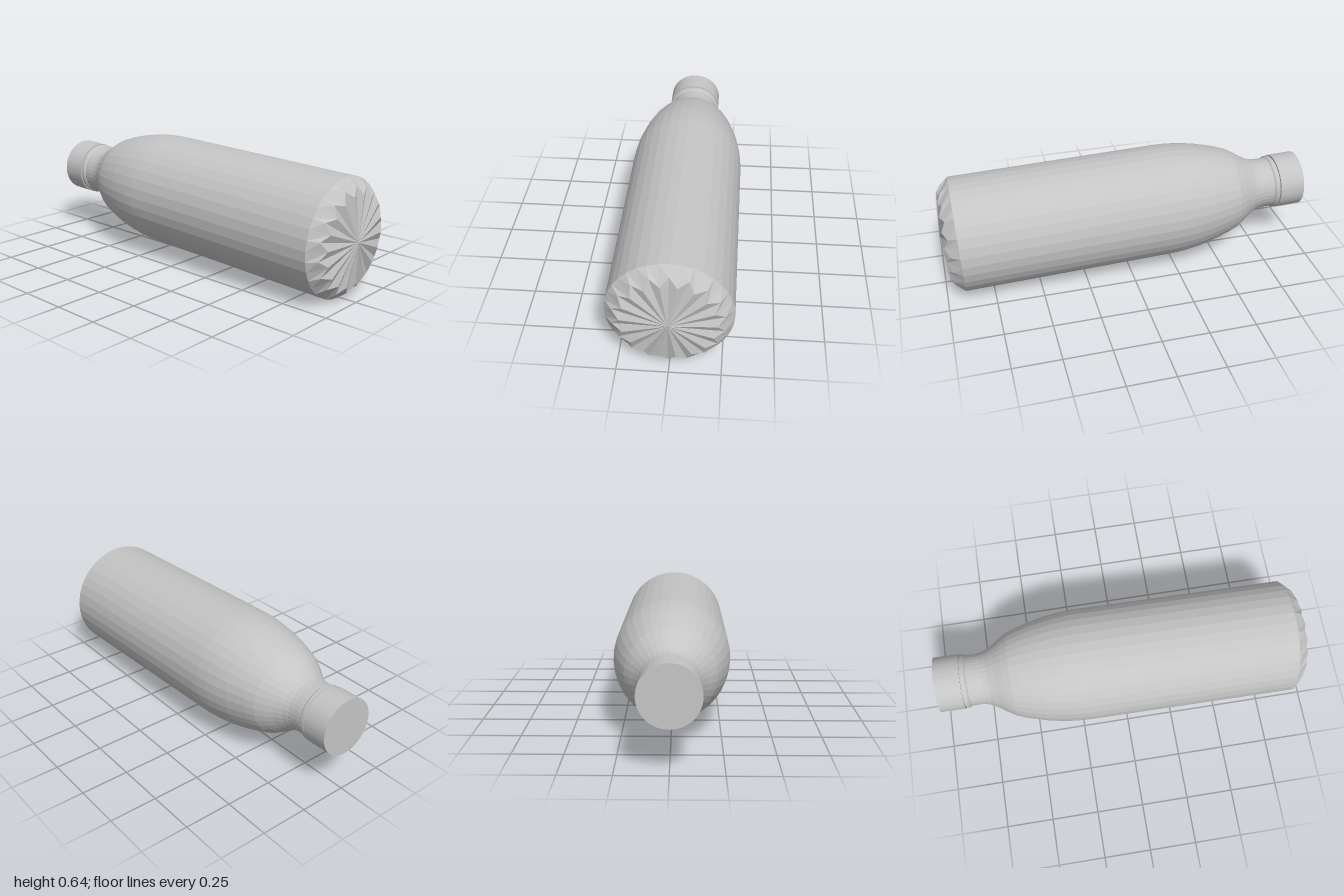
import * as THREE from 'three';
import { toCreasedNormals } from 'three/addons/utils/BufferGeometryUtils.js';

const SIDES = 36;
const ROLL = -0.026; // slight turn of the bottle about its own axis
const TILT = 0.031;  // the neck rests a little higher than the base

// Lathe from [distance along axis, radius] pairs, running neck to base
function lathe(profile, sides) {
  const points = profile.map(([s, r]) => new THREE.Vector2(r, s));
  return new THREE.LatheGeometry(points, sides, ROLL);
}

function flat(geometry) {
  const g = geometry.toNonIndexed();
  g.computeVertexNormals();
  return g;
}

// Faceted base: every second column of the middle ring is pulled inwards and out
function baseGeometry() {
  const profile = [[0.91, 0.304], [0.957, 0.267], [0.998, 0]];
  const g = lathe(profile, SIDES);
  const pos = g.attributes.position;
  for (let i = 0; i <= SIDES; i++) {
    if (i % 2 === 1) continue;
    const phi = ROLL + (i / SIDES) * Math.PI * 2;
    pos.setXYZ(i * profile.length + 1, 0.227 * Math.sin(phi), 0.98, 0.227 * Math.cos(phi));
  }
  return flat(g);
}

export function createModel() {
  const grey = new THREE.MeshStandardMaterial({ color: 0xc4c4c4 });
  const model = new THREE.Group();
  const bottle = new THREE.Group();
  bottle.name = 'bottle';
  bottle.rotation.z = -Math.PI / 2 - TILT;
  bottle.position.y = 0.3325;
  model.add(bottle);

  const add = (name, geometry) => {
    const mesh = new THREE.Mesh(geometry, grey);
    mesh.name = name;
    bottle.add(mesh);
  };

  // Neck, shoulder and long straight wall
  add('body', flat(lathe([
    [-0.88, 0.137], [-0.78, 0.137], [-0.75, 0.140], [-0.72, 0.150], [-0.68, 0.173],
    [-0.64, 0.201], [-0.60, 0.225], [-0.55, 0.244], [-0.50, 0.259], [-0.44, 0.275],
    [-0.38, 0.287], [-0.31, 0.297], [-0.25, 0.302], [-0.20, 0.303], [0.91, 0.304],
  ], SIDES)));

  add('base', baseGeometry());

  // Closed cap
  add('cap', toCreasedNormals(lathe([
    [-0.997, 0], [-0.997, 0.148], [-0.862, 0.148], [-0.862, 0.13],
  ], 72), 0.6));

  // Safety ring below the cap
  add('sealRing', toCreasedNormals(lathe([
    [-0.856, 0.13], [-0.856, 0.145], [-0.838, 0.145], [-0.828, 0.136],
  ], 72), 0.6));

  return model;
}
